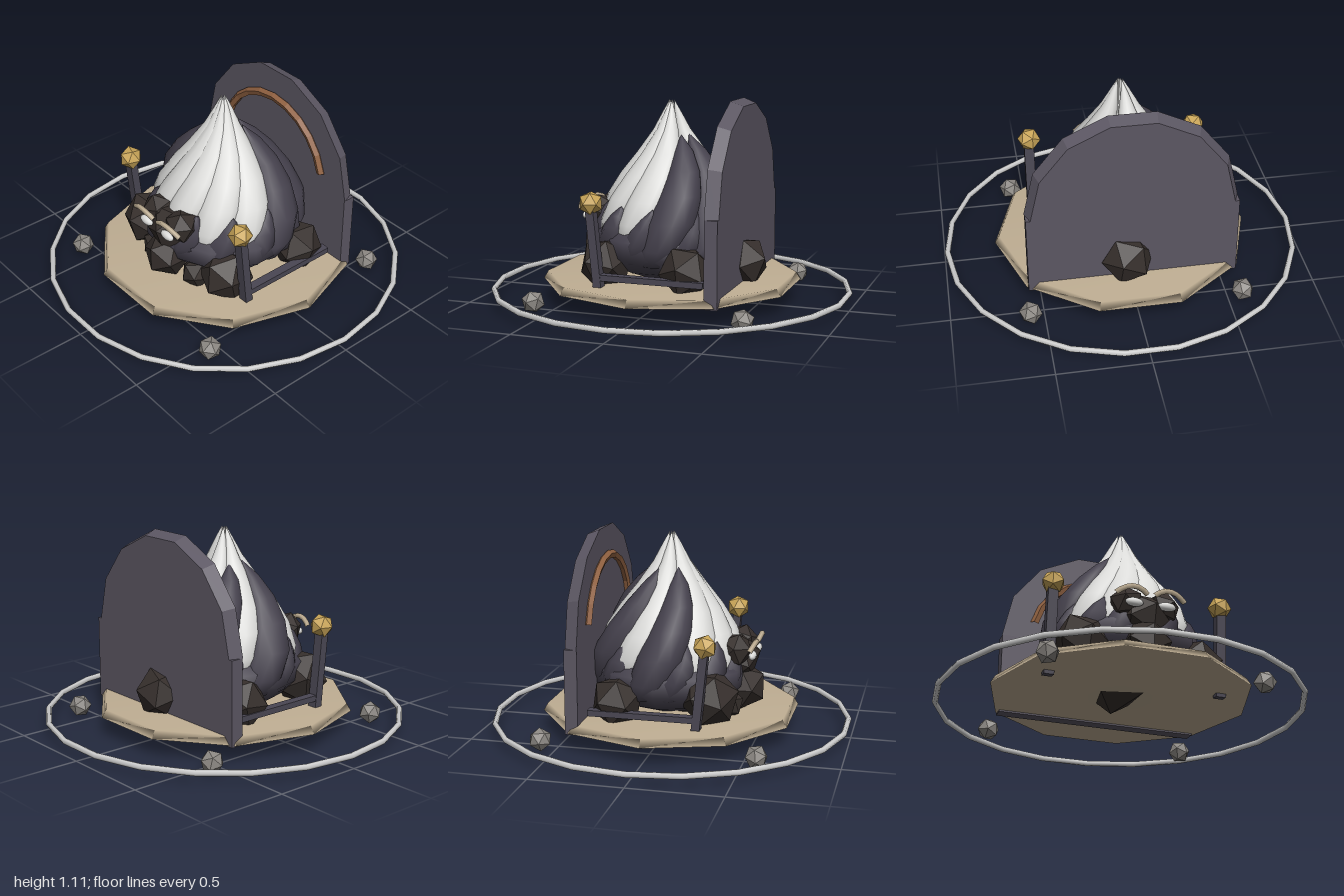
import * as THREE from 'three';
import { mergeVertices } from 'three/addons/utils/BufferGeometryUtils.js';

const mat = (name, color, flat = true) =>
  Object.assign(new THREE.MeshStandardMaterial({ color, flatShading: flat }), { name });

// Weld a geometry so its shading runs smoothly over every edge
function welded(geo) {
  geo.deleteAttribute('uv');
  geo.deleteAttribute('normal');
  const g = mergeVertices(geo, 1e-4);
  g.computeVertexNormals();
  return g;
}

// Horn-shaped petal: stacked horizontal ellipses that lean in and twist towards the tip
function petalGeometry(deg, profile, twist, sides = 12) {
  const pos = [], index = [];
  profile.forEach(([y, r, w]) => {
    const a = THREE.MathUtils.degToRad(deg) + twist * (y - 0.4);
    const s = Math.sin(a), c = Math.cos(a);
    for (let j = 0; j < sides; j++) {
      const t = (j / sides) * Math.PI * 2;
      const out = r + w * Math.cos(t), side = w * Math.sin(t);
      pos.push(s * out + c * side, y, c * out - s * side);
    }
  });
  for (let i = 0; i < profile.length - 1; i++) {
    for (let j = 0; j < sides; j++) {
      const k = (j + 1) % sides;
      const a = i * sides + j, b = i * sides + k;
      index.push(a, b, a + sides, b, b + sides, a + sides);
    }
  }
  const g = new THREE.BufferGeometry();
  g.setAttribute('position', new THREE.Float32BufferAttribute(pos, 3));
  g.setIndex(index);
  g.computeVertexNormals();
  return g;
}

export function createModel() {
  const group = new THREE.Group();
  const tan = mat('sandTan', 0xbfae93, false);
  const slate = mat('slatePurple', 0x5b5662);
  const char = mat('charcoalPurple', 0x45414d, false);
  const white = mat('ashWhite', 0xdededc, false);
  const rock = mat('darkRock', 0x362f2c);
  const gold = mat('gold', 0xc9a558);
  const copper = mat('copper', 0x8f6040);
  const silver = mat('silver', 0xcfcfcf, false);
  const stone = mat('greyStone', 0x8c8883);
  const post = mat('postSlate', 0x4a4753);

  const add = (name, geo, material, p = [0, 0, 0], r = [0, 0, 0], s = [1, 1, 1]) => {
    const m = new THREE.Mesh(geo, material);
    m.name = name;
    m.position.set(...p);
    m.rotation.set(...r);
    m.scale.set(...s);
    group.add(m);
  };

  // Outer ring and its four stones
  add('outerRing', new THREE.TorusGeometry(0.984, 0.016, 6, 22), silver, [0, 0.065, 0], [Math.PI / 2, 0, 0]);
  for (const x of [-1, 1]) for (const z of [-1, 1])
    add('ringStone', new THREE.IcosahedronGeometry(0.063), stone, [x * 0.577, 0.06, z * 0.577], [0.3 * z, 0.4 * x, 0.2]);

  // Ten-sided ground plate
  add('groundPlate', welded(new THREE.CylinderGeometry(0.69, 0.715, 0.042, 10)), tan,
    [0, 0.125, 0], [0, Math.PI / 10, 0]);

  // Arched back wall with a trim band
  add('backWall', new THREE.BoxGeometry(1.14, 0.46, 0.07), slate, [0, 0.325, -0.405]);
  add('backWallArch', new THREE.CylinderGeometry(0.573, 0.545, 0.07, 7, 1, false, Math.PI / 2, Math.PI),
    slate, [0, 0.555, -0.405], [Math.PI / 2, 0, 0]);
  const arc = Math.PI * 0.85;
  add('archTrim', new THREE.TorusGeometry(0.4, 0.024, 5, 10, arc), copper,
    [0, 0.555, -0.362], [0, 0, (Math.PI - arc) / 2]);

  // Leaning posts with gold finials, and side rails
  for (const s of [-1, 1]) {
    add('post', new THREE.BoxGeometry(0.055, 0.48, 0.045), post, [s * 0.475, 0.325, 0.26], [0.1, 0, 0]);
    add('finial', new THREE.IcosahedronGeometry(0.066), gold, [s * 0.472, 0.59, 0.285], [0, 0.3 * s, 0]);
    add('sideRail', new THREE.BoxGeometry(0.05, 0.032, 0.58), post, [s * 0.475, 0.198, -0.05]);
  }

  // Swirled mound: white and dark petals leaning together
  const whiteProfile = [
    [0.24, 0.29, 0.01], [0.28, 0.29, 0.06], [0.36, 0.29, 0.105], [0.46, 0.28, 0.125], [0.58, 0.235, 0.125],
    [0.7, 0.175, 0.108], [0.82, 0.11, 0.08], [0.94, 0.06, 0.045], [1.04, 0.032, 0.018], [1.1, 0.014, 0.001],
  ];
  const darkProfile = [
    [0.21, 0.31, 0.01], [0.25, 0.33, 0.08], [0.34, 0.33, 0.125], [0.48, 0.315, 0.135], [0.62, 0.265, 0.115],
    [0.74, 0.21, 0.085], [0.84, 0.15, 0.05], [0.92, 0.1, 0.001],
  ];
  for (const deg of [0, 36, 70, 178, 238, 302, 331])
    add('whitePetal', petalGeometry(deg, whiteProfile, 1), white);
  for (const deg of [104, 142, 210, 268])
    add('darkPetal', petalGeometry(deg, darkProfile, 1.2), char);

  // Short dark petals and a dark body round the foot
  const shortProfile = [
    [0.2, 0.31, 0.01], [0.26, 0.325, 0.09], [0.36, 0.33, 0.115], [0.44, 0.335, 0.09], [0.5, 0.345, 0.05],
    [0.55, 0.35, 0.001],
  ];
  for (const deg of [18, 50, 84, 122, 162, 194, 232, 288, 318, 342])
    add('shortPetal', petalGeometry(deg, shortProfile, 1, 8), char);
  add('moundBody', new THREE.SphereGeometry(0.45, 11, 7), char, [0, 0.33, 0], [0, 0, 0], [1, 0.47, 1]);
  add('moundCore', new THREE.IcosahedronGeometry(0.3), rock, [0, 0.31, 0], [0.3, 0.2, 0.5], [1, 0.9, 1]);

  // Ring of boulders around the foot: x, y, z, radius
  const boulders = [
    [0, 0.26, 0.4, 0.135], [0.33, 0.24, 0.26, 0.15], [0.38, 0.24, -0.21, 0.145], [0.03, 0.24, -0.42, 0.145],
    [-0.38, 0.24, -0.21, 0.145], [-0.31, 0.27, 0.28, 0.16], [0.18, 0.2, 0.34, 0.09], [-0.16, 0.2, 0.35, 0.085],
  ];
  boulders.forEach(([x, y, z, r], i) =>
    add('boulder', new THREE.IcosahedronGeometry(r), rock, [x, y, z], [i * 0.9, i * 1.7, i * 0.5]));

  // Face: rock head, brow lumps, eyes and curved tan eyebrows
  add('head', new THREE.IcosahedronGeometry(0.14), rock, [0, 0.42, 0.36], [0.3, 0.2, 0]);
  for (const s of [-1, 1]) {
    add('browRock', new THREE.IcosahedronGeometry(0.095), rock, [s * 0.1, 0.485, 0.375], [0.4, s * 0.6, s * 0.3]);
    add('eye', new THREE.SphereGeometry(0.024, 10, 8), white, [s * 0.09, 0.455, 0.468], [0, 0, 0], [2.1, 1, 0.9]);
    const curve = new THREE.QuadraticBezierCurve3(
      new THREE.Vector3(s * 0.19, 0.495, 0.465), new THREE.Vector3(s * 0.1, 0.57, 0.505),
      new THREE.Vector3(s * 0.02, 0.505, 0.475));
    add('eyebrow', new THREE.TubeGeometry(curve, 6, 0.015, 5), tan);
  }
  return group;
}
